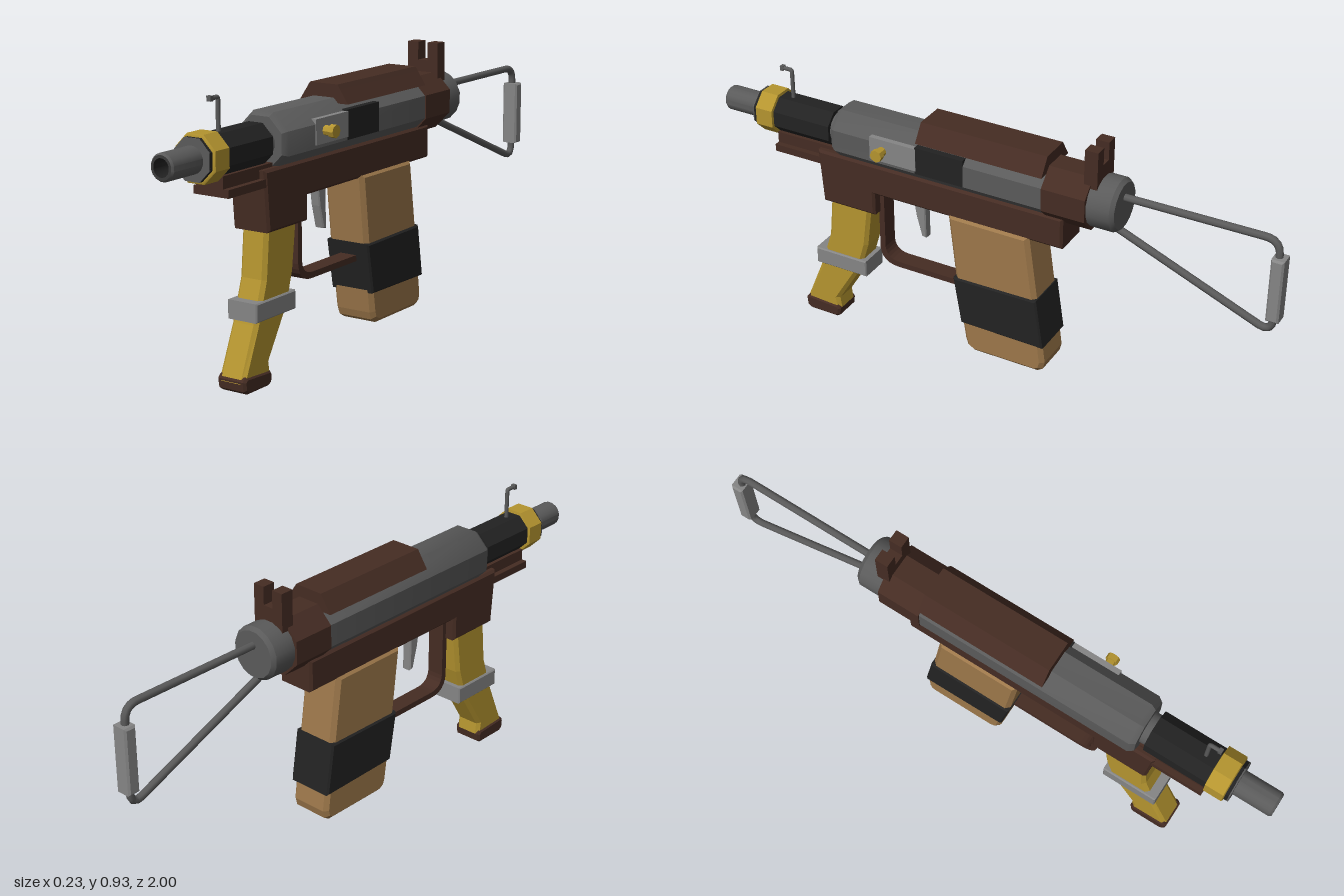
import * as THREE from 'three';
import { toCreasedNormals } from 'three/addons/utils/BufferGeometryUtils.js';

const paint = (name, color) => {
  const m = new THREE.MeshStandardMaterial({ color });
  m.name = name;
  return m;
};

export function createModel() {
  const brown = paint('dark brown', 0x452c23);
  const steel = paint('steel grey', 0x5a5a5a);
  const darkSteel = paint('dark steel', 0x3a3a3a);
  const light = paint('light grey', 0x858585);
  const black = paint('black', 0x222222);
  const gold = paint('gold', 0xb4942f);
  const tan = paint('tan', 0x9c774a);

  const model = new THREE.Group();
  const gun = new THREE.Group();
  gun.name = 'gun';
  gun.position.x = -0.022;
  model.add(gun);
  const AXIS = 0.737; // height of the barrel line

  const add = (name, geometry, material) => {
    const mesh = new THREE.Mesh(geometry, material);
    mesh.name = name;
    gun.add(mesh);
    return mesh;
  };
  // Turned part along z from [radius, z] points; 8 sides measure across the flats
  const turned = (name, pts, sides, material, y = AXIS) => {
    const k = sides === 8 ? 1 / Math.cos(Math.PI / 8) : 1;
    const g = new THREE.LatheGeometry(pts.map(([r, z]) => new THREE.Vector2(r * k, z)), sides, Math.PI / sides);
    g.rotateX(Math.PI / 2);
    const mesh = add(name, toCreasedNormals(g, 0.6), material);
    mesh.position.y = y;
    return mesh;
  };
  // Side profile of [z, y] points, extruded across x with a bevel
  const profile = (name, pts, half, bevel, material) => {
    const shape = new THREE.Shape(pts.map(([z, y]) => new THREE.Vector2(z, y)));
    const g = new THREE.ExtrudeGeometry(shape, {
      depth: 2 * (half - bevel), bevelEnabled: bevel > 0, bevelSize: bevel,
      bevelThickness: bevel, bevelOffset: -bevel, bevelSegments: 1,
    });
    g.translate(0, 0, bevel - half);
    g.rotateY(-Math.PI / 2);
    return add(name, g, material);
  };
  const box = (name, [x0, x1], [y0, y1], [z0, z1], material) => {
    const g = new THREE.BoxGeometry(x1 - x0, y1 - y0, z1 - z0);
    g.translate((x0 + x1) / 2, (y0 + y1) / 2, (z0 + z1) / 2);
    return add(name, g, material);
  };
  // Bent wire through [z, y] points with rounded corners
  const wire = (name, pts, radius, round, material) => {
    const v = pts.map(([z, y]) => new THREE.Vector3(0, y, z));
    const path = new THREE.CurvePath();
    let from = v[0];
    for (let i = 1; i < v.length - 1; i++) {
      const a = v[i].clone().add(v[i - 1].clone().sub(v[i]).setLength(round));
      const b = v[i].clone().add(v[i + 1].clone().sub(v[i]).setLength(round));
      path.add(new THREE.LineCurve3(from, a));
      path.add(new THREE.QuadraticBezierCurve3(a, v[i], b));
      from = b;
    }
    path.add(new THREE.LineCurve3(from, v[v.length - 1]));
    return add(name, new THREE.TubeGeometry(path, 90, radius, 8), material);
  };

  // Barrel group
  turned('barrel', [[0.042, 0.84], [0.042, 0.993], [0.037, 1]], 16, steel);
  turned('muzzleFace', [[0.037, 1], [0.028, 1]], 16, darkSteel);
  turned('bore', [[0.028, 1], [0.028, 0.93], [0, 0.93]], 16, black);
  turned('handguard', [[0, 0.57], [0.063, 0.57], [0.063, 0.864], [0, 0.864]], 8, black);
  turned('handguardCap', [[0.063, 0.863], [0.063, 0.868], [0, 0.868]], 8, steel);
  turned('goldRing', [[0.06, 0.785], [0.072, 0.787], [0.072, 0.85], [0.067, 0.853], [0.06, 0.853]], 8, gold);
  turned('barrelNeck', [[0.053, 0.53], [0.053, 0.58]], 16, steel);
  wire('frontSight', [[0.745, 0.78], [0.745, 0.9], [0.785, 0.9]], 0.007, 0.008, steel);
  box('frontSightTip', [-0.008, 0.008], [0.892, 0.908], [0.775, 0.787], steel);

  // Receiver
  turned('receiver', [[0, -0.24], [0.09, -0.24], [0.09, 0.53], [0.078, 0.548], [0, 0.548]], 8, steel);
  turned('rearCollar', [[0.08, -0.377], [0.094, -0.377], [0.094, -0.227], [0.08, -0.227]], 8, brown);
  turned('rearCap', [[0, -0.468], [0.077, -0.468], [0.088, -0.455], [0.088, -0.36]], 16, steel);
  box('ejectionPort', [0.05, 0.0915], [0.70, 0.795], [0.05, 0.225], black);
  box('boltPlate', [0.05, 0.0925], [0.71, 0.79], [0.222, 0.393], light);

  // Bolt handle on the left side
  [['boltStem', 0.016, 0.085, 0.118], ['boltKnob', 0.021, 0.114, 0.133]].forEach(([name, r, a, b]) => {
    const g = new THREE.CylinderGeometry(r, r, b - a, 8).rotateZ(Math.PI / 2);
    add(name, toCreasedNormals(g, 0.6), gold).position.set((a + b) / 2, 0.75, 0.345);
  });

  // Flared top cover
  const coverShape = new THREE.Shape([
    [-0.091, 0.81], [0.091, 0.81], [0.061, 0.855], [0.052, 0.869], [-0.052, 0.869], [-0.061, 0.855],
  ].map(([x, y]) => new THREE.Vector2(x, y)));
  const cover = new THREE.ExtrudeGeometry(coverShape, { depth: 0.449, bevelEnabled: false });
  add('topCover', cover.translate(0, 0, -0.227), brown);

  // Rear sight with two posts
  box('rearSightBase', [-0.058, 0.058], [0.79, 0.87], [-0.4, -0.355], brown);
  for (const s of [-1, 1]) {
    box('rearSightPost', s > 0 ? [0.018, 0.058] : [-0.058, -0.018], [0.86, 0.93], [-0.4, -0.355], brown);
  }

  // Lower frame and rail under the barrel
  profile('lowerFrame', [
    [0.615, 0.668], [0.6, 0.477], [0.4, 0.477], [0.4, 0.557], [-0.29, 0.557], [-0.29, 0.668],
  ], 0.067, 0.008, brown);
  box('railTop', [-0.045, 0.045], [0.635, 0.68], [0.55, 0.785], brown);
  box('railPlate', [-0.064, 0.064], [0.617, 0.642], [0.58, 0.785], brown);

  // Curved front grip with its foot and strap
  profile('frontGrip', [
    [0.585, 0.49], [0.6, 0.33], [0.642, 0.2], [0.71, 0.035],
    [0.57, 0.035], [0.575, 0.075], [0.48, 0.23], [0.45, 0.33], [0.43, 0.49],
  ].reverse(), 0.048, 0.012, gold);
  profile('gripFoot', [
    [0.71, 0.042], [0.698, 0.055], [0.58, 0.048], [0.57, 0.035], [0.573, 0.008], [0.585, 0], [0.69, 0], [0.707, 0.012],
  ], 0.053, 0.008, brown);
  profile('gripStrap', [[0.65, 0.27], [0.65, 0.21], [0.452, 0.21], [0.452, 0.27]], 0.055, 0.004, light);

  // Trigger and guard
  profile('trigger', [
    [0.282, 0.57], [0.27, 0.49], [0.25, 0.415], [0.234, 0.412], [0.235, 0.48], [0.236, 0.57],
  ], 0.017, 0.004, light);
  const guard = new THREE.Shape();
  guard.moveTo(0.405, 0.56).lineTo(0.405, 0.335).quadraticCurveTo(0.4, 0.275, 0.335, 0.275);
  guard.lineTo(0.06, 0.275).lineTo(0.06, 0.295).lineTo(0.33, 0.295);
  guard.quadraticCurveTo(0.38, 0.295, 0.385, 0.34).lineTo(0.385, 0.56);
  profile('triggerGuard', guard.getPoints(6).map((p) => [p.x, p.y]), 0.03, 0, brown);

  // Slanted magazine and its band
  profile('magazine', [
    [0.12, 0.57], [0.094, 0.34], [0.058, 0.1], [0.05, 0.075], [0.025, 0.06],
    [-0.21, 0.06], [-0.23, 0.072], [-0.237, 0.1], [-0.205, 0.34], [-0.173, 0.57],
  ], 0.075, 0.014, tan);
  profile('magazineBand', [[0.097, 0.338], [0.068, 0.168], [-0.235, 0.163], [-0.208, 0.342]], 0.081, 0.006, black);

  // Folding wire stock and shoulder pad
  wire('stockWire', [[-0.44, 0.767], [-0.972, 0.767], [-0.972, 0.435], [-0.4, 0.67]], 0.0125, 0.05, steel);
  profile('stockPad', [[-0.955, 0.71], [-0.955, 0.49], [-0.997, 0.49], [-0.997, 0.71]], 0.028, 0.006, light);

  return model;
}
